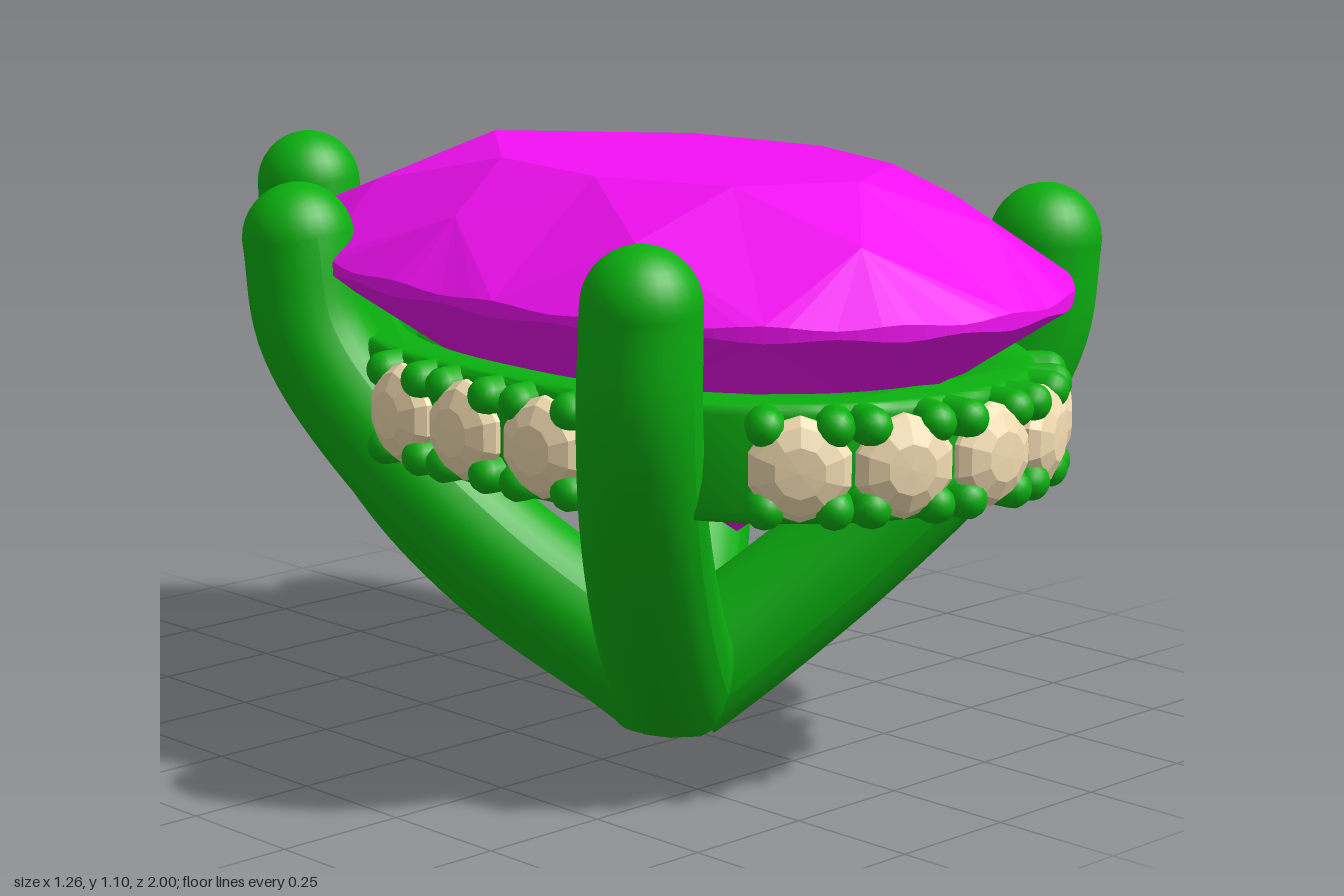
import * as THREE from 'three';
import { toCreasedNormals } from 'three/addons/utils/BufferGeometryUtils.js';

const metal = new THREE.MeshStandardMaterial({ color: 0x0bb010 });
const gemMat = new THREE.MeshStandardMaterial({ color: 0xf510f5, flatShading: true });
const paveMat = new THREE.MeshStandardMaterial({ color: 0xf5deb3, flatShading: true });
const V = (x, y, z) => new THREE.Vector3(x, y, z);

// Pear outline: half ellipse at the front, tapering to a point at the back.
// t runs from 0 (front) through PI (point) to 2 PI; s scales about z = 0.25.
function pear(t, s = 1, y = 0) {
  const a = Math.atan2(Math.sin(t), Math.cos(t));
  const k = Math.abs(a) / (Math.PI / 2) - 1;
  let x, z;
  if (k <= 0) {
    x = 0.56 * Math.sin(a);
    z = 0.3 + 0.7 * Math.cos(a);
  } else {
    x = 0.56 * Math.sign(a) * (1 - Math.min(k, 1) ** 2.7);
    z = 0.3 - 1.13 * k;
  }
  return V(x * s, y, 0.25 + (z - 0.25) * s);
}

function mesh(geometry, material, name) {
  const m = new THREE.Mesh(geometry, material);
  m.name = name;
  return m;
}

// Faceted centre stone: table, star facets, kites, girdle and pavilion
function centreStone() {
  const pos = [];
  const tri = (a, b, c) => [a, b, c].forEach((p) => pos.push(p.x, p.y, p.z));
  const N = 8, SUB = 12, step = (Math.PI * 2) / N;
  const top = V(0, 1.095, 0.2), culet = V(0, 0.41, 0.35);
  const table = (i) => pear(i * step, 0.525, 1.095);
  const star = (i) => pear((i + 0.5) * step, 0.8, 1.015);
  const pav = (i) => pear((i + 0.5) * step, 0.74, 0.75);
  const up = (t) => pear(t, 1, 0.902 + 0.004 * Math.cos(t * 16));
  const low = (t) => pear(t, 1, 0.88 - 0.004 * Math.cos(t * 16));
  for (let i = 0; i < N; i++) {
    const t = i * step;
    tri(top, table(i), table(i + 1));
    tri(table(i), star(i), table(i + 1));
    tri(table(i), star(i - 1), up(t));
    tri(table(i), up(t), star(i));
    tri(culet, low(t), pav(i - 1));
    tri(culet, pav(i), low(t));
    for (let j = 0; j < SUB; j++) {
      const a = t + (j / SUB) * step, b = t + ((j + 1) / SUB) * step;
      tri(up(a), up(b), star(i));
      tri(low(a), low(b), up(b));
      tri(low(a), up(b), up(a));
      tri(low(b), low(a), pav(i));
    }
  }
  const g = new THREE.BufferGeometry();
  g.setAttribute('position', new THREE.Float32BufferAttribute(pos, 3));
  g.computeVertexNormals();
  return mesh(g, gemMat, 'centreStone');
}

// Pear-shaped band under the stone
function rail() {
  const loop = (s) => Array.from({ length: 96 }, (_, i) => {
    const p = pear((i / 96) * Math.PI * 2, s);
    return new THREE.Vector2(p.x, -p.z);
  });
  const shape = new THREE.Shape(loop(0.885));
  shape.holes.push(new THREE.Path(loop(0.765)));
  const g = new THREE.ExtrudeGeometry(shape, {
    depth: 0.17, bevelThickness: 0.02, bevelSize: 0.015, bevelSegments: 3,
  });
  g.rotateX(-Math.PI / 2).translate(0, 0.57, 0);
  return mesh(toCreasedNormals(g, 0.6), metal, 'rail');
}

// Small stone with four claws, its axis (local z) facing outwards
const smallStoneGeo = new THREE.LatheGeometry(
  [[0, -0.06], [0.07, -0.025], [0.092, -0.01], [0.092, 0], [0.078, 0.018], [0.045, 0.034], [0, 0.036]]
    .map(([x, y]) => new THREE.Vector2(x, y)), 10).rotateX(Math.PI / 2);
const clawGeo = new THREE.CapsuleGeometry(0.035, 0.06, 6, 12).rotateX(Math.PI / 2);

function smallStone(t) {
  const g = new THREE.Group();
  g.name = 'smallStoneSetting';
  g.add(mesh(smallStoneGeo, paveMat, 'smallStone'));
  for (const sx of [-1, 1]) for (const sy of [-1, 1]) {
    const claw = mesh(clawGeo, metal, 'claw');
    claw.position.set(sx * 0.059, sy * 0.071, -0.034);
    g.add(claw);
  }
  const along = pear(t + 0.01).sub(pear(t - 0.01));
  g.position.copy(pear(t, 0.95, 0.655));
  g.rotation.y = Math.atan2(-along.z, along.x);
  return g;
}

// Round prong swept from a thicker base to a ball tip, flattened at the ground
function prong(points, name) {
  const g = new THREE.Group();
  g.name = name;
  const path = new THREE.CatmullRomCurve3(points.map((p) => V(...p)));
  const tube = new THREE.TubeGeometry(path, 48, 1, 28);
  const { position, uv } = tube.attributes;
  for (let i = 0; i < position.count; i++) {
    const u = uv.getX(i), centre = path.getPointAt(u);
    const radius = 0.105 + 0.02 * (1 - u);
    const p = V().fromBufferAttribute(position, i).sub(centre).multiplyScalar(radius).add(centre);
    position.setXYZ(i, p.x, p.y, p.z);
  }
  const tip = mesh(new THREE.SphereGeometry(0.105, 28, 18), metal, 'prongTip');
  tip.position.copy(path.getPoint(1));
  g.add(mesh(flatten(tube), metal, 'prongStem'), tip);
  return g;
}

function flatten(geometry) {
  const p = geometry.attributes.position;
  for (let i = 0; i < p.count; i++) p.setY(i, Math.max(0, p.getY(i)));
  geometry.computeVertexNormals();
  return geometry;
}

export function createModel() {
  const model = new THREE.Group();
  model.name = 'pearStoneSetting';
  model.add(centreStone(), rail());

  // Five small stones at the front, three on each side, two on each back side
  model.add(smallStone(0));
  for (const t of [0.346, 0.669, 1.43, 1.728, 2.006, 2.708, 2.943]) {
    model.add(smallStone(t), smallStone(-t));
  }

  // Prongs, mirrored left and right, plus one at the point
  for (const s of [1, -1]) {
    const side = s > 0 ? 'left' : 'right';
    model.add(prong([
      [0, 0.09, 0.19], [s * 0.12, 0.2, 0.28], [s * 0.28, 0.37, 0.41], [s * 0.43, 0.57, 0.54],
      [s * 0.51, 0.76, 0.615], [s * 0.525, 0.935, 0.635],
    ], side + 'FrontProng'));
    model.add(prong([
      [0, 0.09, 0.17], [s * 0.12, 0.21, 0.08], [s * 0.27, 0.37, -0.04], [s * 0.4, 0.57, -0.19],
      [s * 0.47, 0.76, -0.3], [s * 0.482, 0.935, -0.33],
    ], side + 'MiddleProng'));
  }
  model.add(prong([
    [0, 0.11, 0.15], [0, 0.14, 0], [0, 0.235, -0.33], [0, 0.375, -0.6], [0, 0.56, -0.79],
    [0, 0.75, -0.875], [0, 0.935, -0.895],
  ], 'backProng'));

  // Rounded foot with a flat underside where the prongs meet
  const foot = new THREE.SphereGeometry(0.135, 32, 24).translate(0, 0.1, 0.17);
  model.add(mesh(flatten(foot), metal, 'foot'));
  return model;
}
